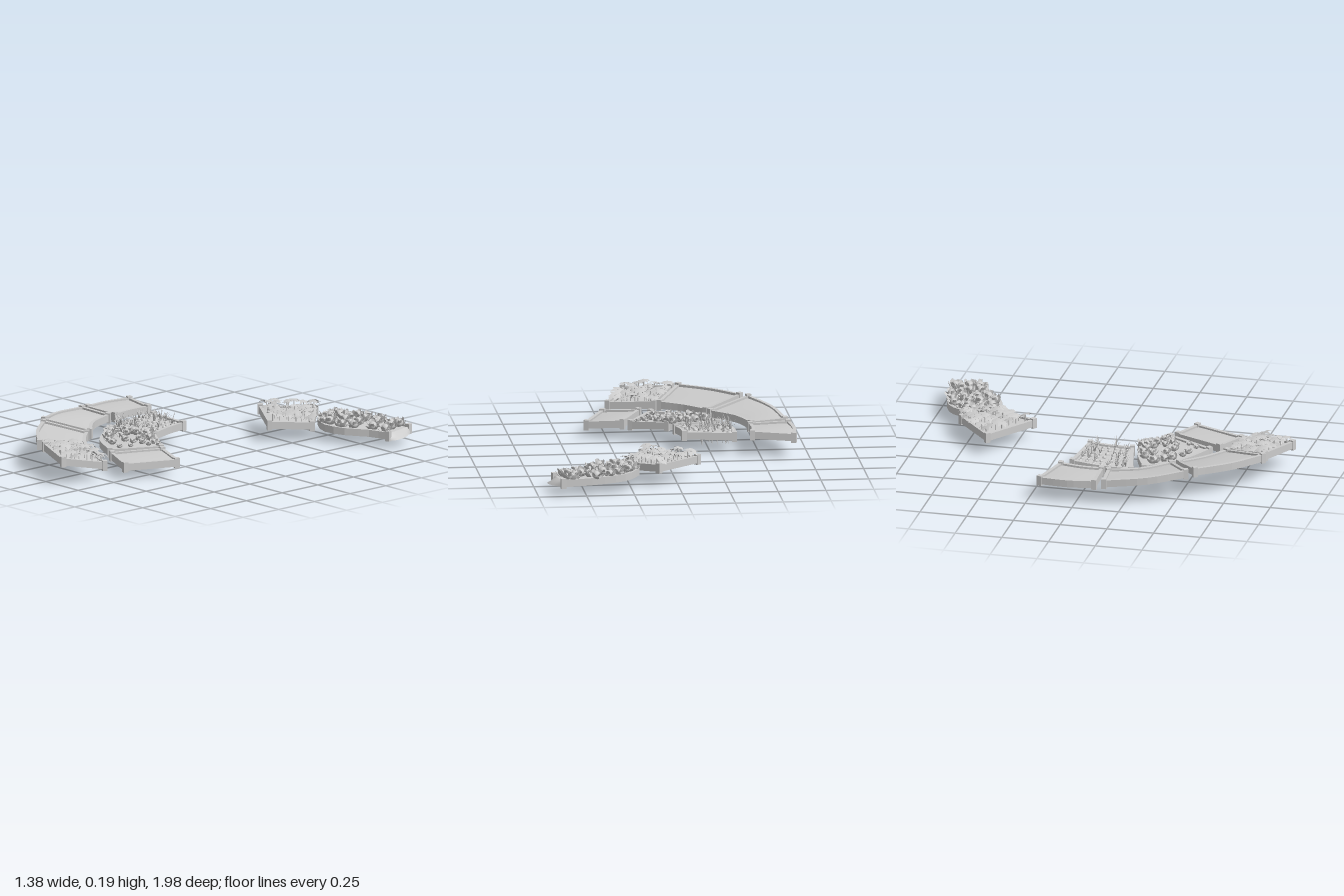
import * as THREE from 'three';
import { mergeGeometries } from 'three/addons/utils/BufferGeometryUtils.js';

const flat = new THREE.MeshStandardMaterial({ color: 0xcccccc, flatShading: true });
const thin = new THREE.MeshStandardMaterial({ color: 0xcccccc, side: THREE.DoubleSide });
const V = (x, y, z) => new THREE.Vector3(x, y, z);

let seed = 7;
const rnd = (a = 0, b = 1) => {
  seed = (seed * 16807) % 2147483647;
  return a + (b - a) * (seed / 2147483647);
};

function mesh(name, geo, mat, parent) {
  const m = new THREE.Mesh(geo, mat);
  m.name = name;
  parent.add(m);
  return m;
}

function indexedGeometry(pos, idx) {
  const g = new THREE.BufferGeometry();
  g.setAttribute('position', new THREE.Float32BufferAttribute(pos, 3));
  g.setIndex(idx);
  g.computeVertexNormals();
  return g;
}

// Curve between two corners through optional [x, z] points
function edge(a, b, mids = []) {
  const pts = mids.map(([x, z], i) => V(x, a.y + (b.y - a.y) * (i + 1) / (mids.length + 1), z));
  return new THREE.CatmullRomCurve3([a, ...pts, b]);
}

// Surface point between four edge curves
function patch(c, [top, right, bottom, left]) {
  return (u, v) => {
    const p = V(0, 0, 0);
    p.addScaledVector(top.getPoint(u), 1 - v).addScaledVector(bottom.getPoint(u), v);
    p.addScaledVector(left.getPoint(v), 1 - u).addScaledVector(right.getPoint(v), u);
    p.addScaledVector(c[0], -(1 - u) * (1 - v)).addScaledVector(c[1], -u * (1 - v));
    return p.addScaledVector(c[2], -u * v).addScaledVector(c[3], -(1 - u) * v);
  };
}

function gridGeometry(fn, n = 9) {
  const pos = [], idx = [];
  for (let j = 0; j <= n; j++) for (let i = 0; i <= n; i++) pos.push(...fn(i / n, j / n).toArray());
  for (let j = 0; j < n; j++) for (let i = 0; i < n; i++) {
    const a = j * (n + 1) + i, d = a + n + 1;
    idx.push(a, d, a + 1, a + 1, d, d + 1);
  }
  return indexedGeometry(pos, idx);
}

// Rectangular plank swept along a curve
function railGeometry(curve, n = 8, w = 0.009, h = 0.019) {
  const pos = [], idx = [];
  for (let i = 0; i <= n; i++) {
    const p = curve.getPoint(i / n), t = curve.getTangent(i / n);
    const s = V(-t.z, 0, t.x).normalize().multiplyScalar(w);
    for (const [a, b] of [[1, 1], [-1, 1], [-1, -1], [1, -1]]) pos.push(p.x + a * s.x, p.y + b * h, p.z + a * s.z);
    if (i < n) for (let k = 0; k < 4; k++) {
      const a = i * 4 + k, b = i * 4 + (k + 1) % 4;
      idx.push(a, b + 4, b, a, a + 4, b + 4);
    }
  }
  return indexedGeometry(pos, idx);
}

// Jagged, gently drooping star-shaped leaf of radius 1
function starLeaf() {
  const g = new THREE.CircleGeometry(1, 12).rotateX(-Math.PI / 2);
  const p = g.attributes.position;
  for (let i = 1; i < p.count; i++) {
    const r = i % 2 ? 1.05 : 0.62;
    p.setXYZ(i, p.getX(i) * r, i % 2 ? -0.35 : -0.08, p.getZ(i) * r);
  }
  g.computeVertexNormals();
  return g;
}

// Leafy head of radius 1: round heart wrapped in cupped leaves
function headGeometry() {
  const heart = new THREE.SphereGeometry(0.6, 10, 7).translate(0, 0.25, 0);
  heart.deleteAttribute('uv');
  const parts = [heart];
  for (let k = 0; k < 8; k++) {
    const outer = k % 2;
    const leaf = gridGeometry((u, v) => {
      const a = (u - 0.5) * 1.15 * Math.sin(Math.PI * (0.15 + 0.7 * v));
      const r = outer ? 0.3 + 0.75 * v : 0.35 + 0.45 * v;
      const y = (outer ? -0.25 + 0.75 * v * v : -0.1 + 0.95 * v) + 0.06 * Math.cos(u * 19) * v;
      return V(r * Math.cos(a), y, r * Math.sin(a));
    }, 5);
    parts.push(leaf.rotateY(k * Math.PI / 4));
  }
  return mergeGeometries(parts);
}

// Tuft of bent narrow blades of height 1
function tuftGeometry(n = 7) {
  const parts = [];
  for (let k = 0; k < n; k++) {
    const lean = 0.25 + 0.2 * (k % 3), tall = 1 - 0.15 * (k % 3);
    parts.push(gridGeometry((u, v) =>
      V(lean * v * v, tall * v, (u - 0.5) * 0.13 * (1 - v)), 2).rotateY(k * Math.PI * 2 / n));
  }
  return mergeGeometries(parts);
}

const leafGeo = starLeaf(), headGeo = headGeometry(), tuftGeo = tuftGeometry();
const stemGeo = new THREE.CylinderGeometry(0.003, 0.003, 1, 5).translate(0, -0.5, 0);
const bulbGeo = new THREE.SphereGeometry(1, 8, 6);
const rootGeo = new THREE.ConeGeometry(1, 1, 7).rotateX(Math.PI).translate(0, -0.5, 0);

// Calls back with jittered points of an nu by nv layout
function scatter(at, nu, nv, jitter, fn) {
  for (let j = 0; j < nv; j++) for (let i = 0; i < nu; i++) {
    const u = (i + 0.5 + rnd(-jitter, jitter)) / nu, v = (j + 0.5 + rnd(-jitter, jitter)) / nv;
    fn(at(u, v), u, v);
  }
}

const planting = {
  leaves(g, at) {
    scatter(at, 7, 7, 0.3, p => {
      const h = rnd(0.02, 0.055);
      const leaf = mesh('broadLeaf', leafGeo, thin, g);
      leaf.position.copy(p).y += h;
      leaf.rotation.set(rnd(-0.3, 0.3), rnd(0, 6), rnd(-0.3, 0.3));
      leaf.scale.setScalar(rnd(0.024, 0.04));
      const stem = mesh('stem', stemGeo, flat, g);
      stem.position.copy(leaf.position);
      stem.scale.y = h + 0.01;
    });
  },
  heads(g, at, fade = 0) {
    scatter(at, 6, 4, 0.25, (p, u) => {
      const head = mesh('leafyHead', headGeo, thin, g);
      head.position.copy(p).y += 0.008;
      head.rotation.set(rnd(-0.2, 0.2), rnd(0, 6), rnd(-0.2, 0.2));
      head.scale.setScalar(rnd(0.032, 0.042) * (1 - fade * u));
    });
  },
  fadingHeads(g, at) { planting.heads(g, at, 0.55); },
  roots(g, at) {
    scatter(at, 7, 7, 0.2, (p, u, v) => {
      const front = v > 0.72 && u < 0.75, r = rnd(0.009, 0.013);
      const body = mesh(front ? 'taperedRoot' : 'roundBulb', front ? rootGeo : bulbGeo, flat, g);
      body.position.copy(p);
      body.scale.set(r, front ? p.y : r, r);
      if (!front && rnd() < 0.5) return;
      const tuft = mesh('leafTuft', tuftGeo, thin, g);
      tuft.position.copy(p);
      tuft.rotation.y = rnd(0, 6);
      tuft.scale.setScalar(rnd(0.035, 0.08));
    });
  },
};

// Corners run clockwise from above as [x, y, z]; mids bend the back, right, front and left edges
const beds = [
  { name: 'backPlainBed', c: [[-.67, .105, -.19], [-.46, .11, -.13], [-.47, .105, .09], [-.67, .11, .10]],
    mids: [[], [[-.475, -.02]], [], [[-.685, -.04]]] },
  { name: 'sidePlainBed', c: [[-.66, .115, .15], [-.48, .105, .13], [-.30, .105, .42], [-.51, .15, .55]],
    mids: [[], [[-.42, .29]], [], [[-.61, .37]]] },
  { name: 'frontPlainBed', c: [[-.28, .105, .46], [-.06, .105, .66], [-.18, .145, .88], [-.47, .15, .59]],
    mids: [[[-.18, .57]], [], [[-.34, .75]], []] },
  { name: 'frontLeafBed', c: [[-.03, .10, .68], [.20, .085, .77], [.10, .12, .97], [-.14, .14, .88]], plant: 'leaves' },
  { name: 'rightPlainBed', c: [[.17, .08, .34], [.35, .065, .40], [.24, .065, .66], [.06, .08, .59]] },
  { name: 'middleHeadBed', c: [[-.05, .095, .20], [.13, .08, .31], [0, .08, .55], [-.32, .08, .28]],
    mids: [[], [], [[-.18, .45]], [[-.2, .225]]], plant: 'fadingHeads' },
  { name: 'rootBed', c: [[-.37, .095, -.09], [-.11, .10, -.06], [-.09, .085, .16], [-.36, .075, .22]],
    mids: [[], [[-.11, .05]], [], [[-.38, .06]]], plant: 'roots' },
  { name: 'farLeafBed', c: [[.10, .095, -.80], [.27, .075, -.62], [.15, .09, -.43], [-.12, .095, -.61]], plant: 'leaves' },
  { name: 'farHeadBed', c: [[.21, .08, -.80], [.62, .065, -.98], [.65, .06, -.81], [.27, .075, -.68]],
    mids: [[[.28, -.90], [.42, -.95]], [], [[.34, -.655], [.45, -.69], [.55, -.77]], [[.21, -.73]]],
    plant: 'heads', open: true },
];

function buildBed({ name, c, mids = [], plant, open }) {
  const g = new THREE.Group();
  g.name = name;
  const k = c.map(p => V(...p));
  const e = [[0, 1], [1, 2], [3, 2], [0, 3]].map(([a, b], i) => edge(k[a], k[b], mids[i]));
  const at = patch(k, e);
  const soil = (u, v) => at(u, v).add(V(0, 0.008 + 0.1 * u * (1 - u) * v * (1 - v), 0));
  mesh('soil', gridGeometry(soil), thin, g);
  e.forEach((curve, i) => { if (!(open && i === 1)) mesh('rail', railGeometry(curve), flat, g); });
  // Corner posts
  k.forEach((p, i) => {
    if (open && (i === 0 || i === 3)) return;
    const post = mesh('cornerPost', new THREE.BoxGeometry(0.026, 0.054, 0.026), flat, g);
    post.position.copy(p);
    const d = k[(i + 1) % 4].clone().sub(p);
    post.rotation.y = -Math.atan2(d.z, d.x);
  });
  // Soil lip sloping out of the open end
  if (open) {
    const outer = edge(V(.62, .05, -.995), V(.65, .035, -.80), [[.67, -.93], [.69, -.84]]);
    mesh('soilLip', gridGeometry((u, v) =>
      e[1].getPoint(v).lerp(outer.getPoint(v), u).add(V(0, 0.012 * (1 - u * u), 0)), 6), thin, g);
  }
  if (plant) planting[plant](g, (u, v) => soil(0.04 + 0.92 * u, 0.04 + 0.92 * v));
  return g;
}

export function createModel() {
  const model = new THREE.Group();
  model.name = 'gardenBeds';
  for (const bed of beds) model.add(buildBed(bed));
  return model;
}
